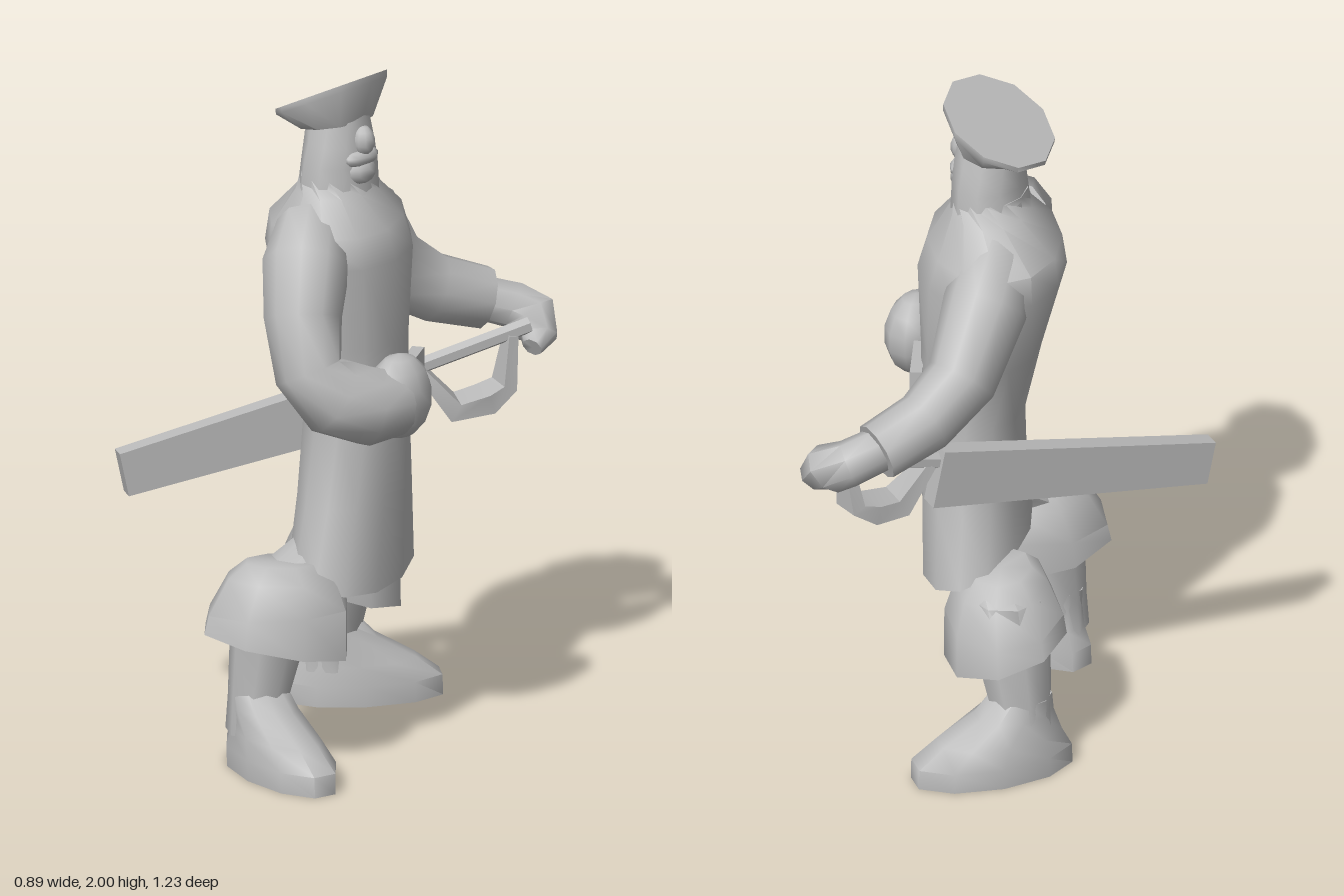
import * as THREE from 'three';
import { toCreasedNormals } from 'three/addons/utils/BufferGeometryUtils.js';

const V = (x, y, z) => new THREE.Vector3(x, y, z);

// Closed skin over rings { c: centre, u, v: half axes }
function loft(rings, sides, crease = 1, phase = 0) {
  const pos = [], idx = [], n = rings.length;
  for (const { c, u, v } of rings) {
    for (let j = 0; j < sides; j++) {
      const t = phase + (j / sides) * Math.PI * 2;
      pos.push(...c.clone().addScaledVector(u, Math.cos(t)).addScaledVector(v, Math.sin(t)).toArray());
    }
  }
  pos.push(...rings[0].c.toArray(), ...rings[n - 1].c.toArray());
  const along = rings[n - 1].c.clone().sub(rings[0].c);
  const flip = rings[0].u.clone().cross(rings[0].v).dot(along) < 0;
  const tri = (a, b, c) => (flip ? idx.push(a, c, b) : idx.push(a, b, c));
  for (let j = 0; j < sides; j++) {
    const k = (j + 1) % sides;
    for (let i = 0; i < n - 1; i++) {
      const a = i * sides + j, b = i * sides + k;
      tri(a, b, b + sides);
      tri(a, b + sides, a + sides);
    }
    tri(n * sides, k, j);
    tri(n * sides + 1, (n - 1) * sides + j, (n - 1) * sides + k);
  }
  const g = new THREE.BufferGeometry();
  g.setAttribute('position', new THREE.Float32BufferAttribute(pos, 3));
  g.setIndex(idx);
  return toCreasedNormals(g, crease);
}

// Ring: depth a along the facing direction, width b across it, rise at the front and side
const level = ([x, y, z, a, b = a, yaw = 0, frontRise = 0, sideRise = 0]) => ({
  c: V(x, y, z),
  u: V(Math.cos(yaw) * a, frontRise, -Math.sin(yaw) * a),
  v: V(Math.sin(yaw) * b, sideRise, Math.cos(yaw) * b),
});

// Rings square to a path of [x, y, z, height radius, side radius], carried along without twist
function pathRings(pts) {
  const c = pts.map((p) => V(p[0], p[1], p[2]));
  let side = null;
  return pts.map((p, i) => {
    const d = c[Math.min(i + 1, c.length - 1)].clone().sub(c[Math.max(i - 1, 0)]).normalize();
    side = side ? side.clone().addScaledVector(d, -side.dot(d)) : V(0, 1, 0).cross(d);
    side.normalize();
    const up = d.clone().cross(side);
    return { c: c[i], u: up.multiplyScalar(p[3]), v: side.clone().multiplyScalar(p[4] ?? p[3]) };
  });
}

export function createModel() {
  const model = new THREE.Group();
  const grey = new THREE.MeshStandardMaterial({ color: 0xbbbbbb });
  grey.name = 'grey';
  const add = (name, geo, parent = model) => {
    const m = new THREE.Mesh(geo, grey);
    m.name = name;
    parent.add(m);
    return m;
  };
  const ball = (name, x, y, z, rx, ry, rz) => {
    const m = add(name, new THREE.SphereGeometry(1, 10, 7));
    m.position.set(x, y, z);
    m.scale.set(rx, ry, rz);
  };

  // Long coat, turned a little towards the left arm
  add('coat', loft([
    [0.095, 0.54, 0.12, 0.15, 0.305, 0.4, -0.05, -0.01],
    [0.105, 0.75, 0.12, 0.15, 0.235, 0.42],
    [0.108, 0.99, 0.115, 0.148, 0.175, 0.45],
    [0.08, 1.2, 0.115, 0.17, 0.195, 0.52],
    [0.05, 1.46, 0.125, 0.21, 0.27, 0.6],
    [0.045, 1.55, 0.13, 0.19, 0.265, 0.6],
    [0.065, 1.64, 0.145, 0.115, 0.15, 0.4],
    [0.07, 1.69, 0.15, 0.1, 0.115],
  ].map(level), 12));

  // Belt buckle
  const buckle = add('buckle', new THREE.BoxGeometry(0.035, 0.15, 0.17));
  buckle.position.set(0.237, 1.065, 0.03);
  buckle.rotation.y = 0.5;

  // Head with nose, moustache and chin
  add('head', loft([
    [0.07, 1.6, 0.15, 0.11, 0.13],
    [0.075, 1.72, 0.15, 0.1, 0.12],
    [0.075, 1.78, 0.15, 0.1, 0.1],
    [0.07, 1.88, 0.15, 0.095, 0.07],
  ].map(level), 10));
  ball('nose', 0.165, 1.795, 0.15, 0.036, 0.045, 0.032);
  ball('moustache', 0.155, 1.745, 0.15, 0.036, 0.028, 0.065);
  ball('chin', 0.145, 1.705, 0.15, 0.05, 0.045, 0.055);

  // Flared hat with a sloping flat top
  add('hat', loft([
    { c: V(0.06, 1.83, 0.15), u: V(0.1, 0.018, 0), v: V(0, 0, 0.115) },
    { c: V(0.045, 1.9, 0.15), u: V(0.154, 0.076, 0), v: V(0, 0, 0.162) },
    { c: V(0.043, 1.918, 0.15), u: V(0.155, 0.079, 0), v: V(0, 0, 0.162) },
  ], 10, 1));

  // Right arm bent across the belly
  add('rightSleeve', loft(pathRings([
    [0.07, 1.54, 0.26, 0.1],
    [0.145, 1.47, 0.365, 0.125],
    [0.185, 1.34, 0.42, 0.112],
    [0.235, 1.2, 0.45, 0.1],
    [0.285, 1.125, 0.4, 0.115],
    [0.33, 1.085, 0.31, 0.115],
    [0.355, 1.08, 0.21, 0.095],
  ]), 10));
  ball('rightHand', 0.355, 1.095, 0.205, 0.085, 0.125, 0.105);

  // Left arm reaching out to the sword grip
  add('leftSleeve', loft(pathRings([
    [-0.01, 1.53, 0.06, 0.11],
    [-0.05, 1.45, -0.07, 0.13, 0.12],
    [-0.055, 1.28, -0.2, 0.118, 0.1],
    [-0.015, 1.195, -0.33, 0.1, 0.09],
    [0.055, 1.145, -0.47, 0.09, 0.085],
  ]), 10));
  add('leftHand', loft(pathRings([
    [0.05, 1.15, -0.45, 0.065],
    [0.11, 1.12, -0.53, 0.068],
    [0.17, 1.09, -0.545, 0.08, 0.065],
    [0.21, 1.05, -0.53, 0.055, 0.045],
    [0.22, 1.03, -0.49, 0.03],
  ]), 8));

  // Sheathed sword with grip and hand guard
  const sword = new THREE.Group();
  sword.name = 'sword';
  model.add(sword);
  add('scabbard', loft(pathRings([
    [-0.415, 0.765, 0.52, 0.092, 0.036],
    [0.025, 0.945, -0.215, 0.125, 0.042],
  ]), 4, 0.1, Math.PI / 4), sword);
  add('grip', loft(pathRings([[0.02, 0.99, -0.2, 0.024], [0.2, 1.09, -0.5, 0.024]]), 6), sword);
  add('guard', loft(pathRings([
    [0.04, 0.99, -0.22, 0.02, 0.04],
    [0.1, 0.875, -0.29, 0.04, 0.07],
    [0.14, 0.885, -0.38, 0.04, 0.075],
    [0.16, 0.92, -0.44, 0.03, 0.06],
    [0.175, 1.07, -0.45, 0.02, 0.03],
  ]), 4, 0.5, Math.PI / 4), sword);

  // Booted legs: thigh and shaft, turned-down cuff, foot
  const legs = [
    {
      side: 'right', hip: [0.11, 0.27], knee: [0.095, 0.435], ankle: [0.06, 0.47], sole: [0.17, 0.493],
      footYaw: -0.25, cuffYaw: 0.72, cuffSize: [0.215, 0.165], lean: 0.01,
    },
    {
      side: 'left', hip: [0.05, 0.05], knee: [-0.115, -0.065], ankle: [-0.18, -0.085], sole: [-0.13, -0.16],
      footYaw: 0.9, cuffYaw: 0.05, cuffSize: [0.175, 0.17], lean: 0.035,
    },
  ];
  for (const { side, hip, knee, ankle, sole, footYaw, cuffYaw, cuffSize, lean } of legs) {
    const leg = new THREE.Group();
    leg.name = side + 'Leg';
    model.add(leg);
    const mix = (p, q, t) => [p[0] + (q[0] - p[0]) * t, p[1] + (q[1] - p[1]) * t];
    const ring = ([x, z], y, a, b) => level([x, y, z, a, b, footYaw]);
    const cuffRing = ([x, z], y, k, front) =>
      level([x, y, z, cuffSize[0] * k, cuffSize[1] * k, cuffYaw, front, lean * k]);
    add('bootShaft', loft([
      ring(ankle, 0.1, 0.1, 0.09),
      ring(ankle, 0.2, 0.09, 0.085),
      ring(mix(ankle, knee, 0.5), 0.36, 0.11, 0.105),
      ring(knee, 0.53, 0.11, 0.11),
      ring(hip, 0.64, 0.06, 0.06),
    ], 8), leg);
    const top = mix(knee, hip, 0.15);
    add('bootCuff', loft([
      cuffRing(knee, 0.4, 0.55, -0.02),
      cuffRing(knee, 0.36, 1, -0.04),
      cuffRing(mix(knee, hip, 0.05), 0.46, 0.97, 0.01),
      cuffRing(top, 0.55, 0.76, 0),
      cuffRing(top, 0.595, 0.5, 0),
    ], 8, 0.9, Math.PI / 8), leg);
    add('foot', loft([
      ring(sole, 0, 0.24, 0.112),
      ring(sole, 0.06, 0.238, 0.114),
      ring(mix(ankle, sole, 0.75), 0.115, 0.185, 0.1),
      ring(mix(ankle, sole, 0.25), 0.18, 0.115, 0.088),
      ring(ankle, 0.23, 0.088, 0.08),
    ], 10, 1, Math.PI / 10), leg);
  }
  return model;
}
